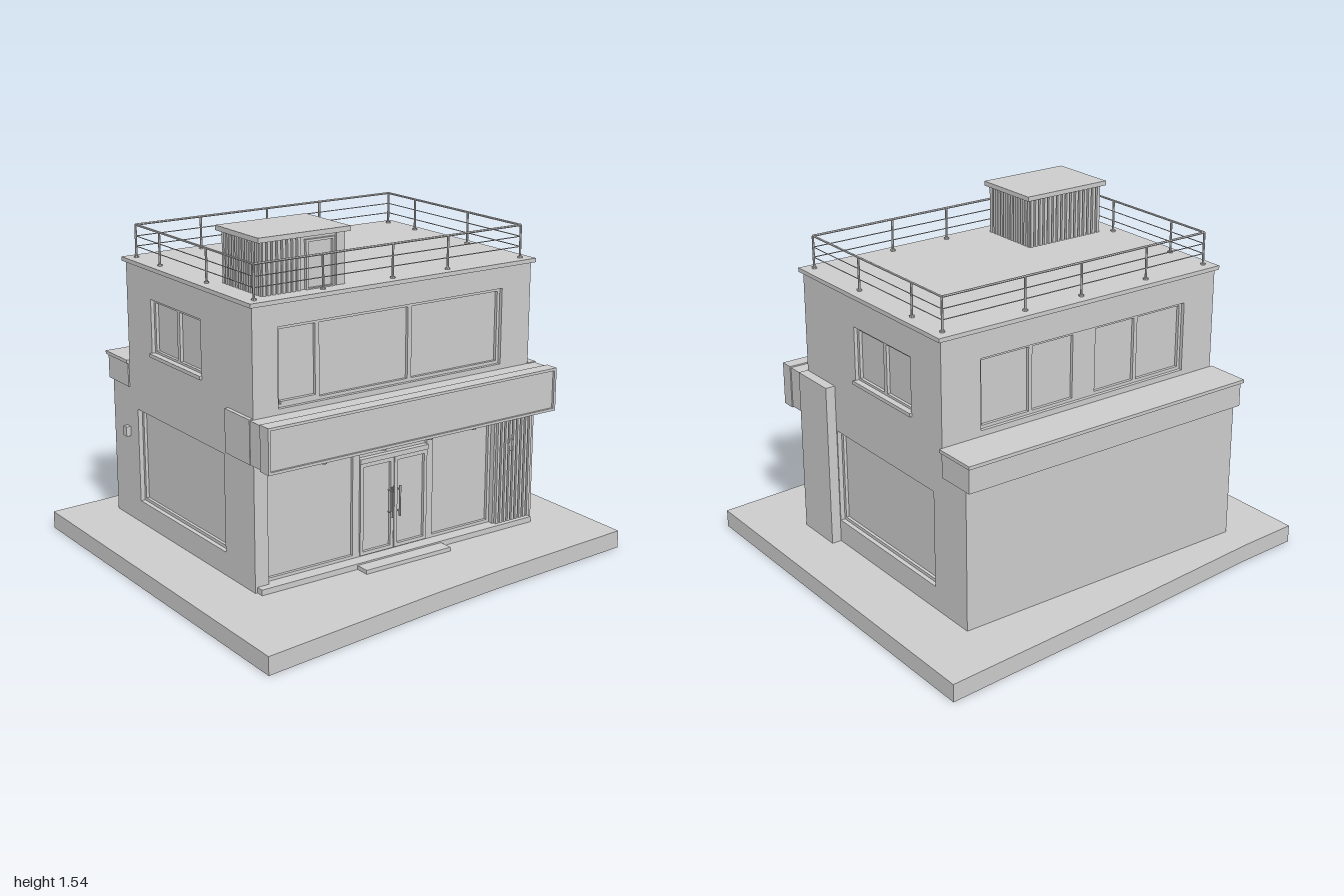
import * as THREE from 'three';

const mat = new THREE.MeshStandardMaterial({ color: 0xcccccc, flatShading: true });

function add(parent, name, geo, x = 0, y = 0, z = 0) {
  const m = new THREE.Mesh(geo, mat);
  m.name = name;
  m.position.set(x, y, z);
  parent.add(m);
  return m;
}

// Box given by its min and max on each axis
function box(parent, name, x0, x1, y0, y1, z0, z1) {
  return add(parent, name, new THREE.BoxGeometry(x1 - x0, y1 - y0, z1 - z0),
    (x0 + x1) / 2, (y0 + y1) / 2, (z0 + z1) / 2);
}

function group(parent, name, x = 0, y = 0, z = 0, ry = 0) {
  const g = new THREE.Group();
  g.name = name;
  g.position.set(x, y, z);
  g.rotation.y = ry;
  parent.add(g);
  return g;
}

// Flat wall with rectangular openings [u0, u1, v0, v1]
function wallGeometry(outline, openings, depth) {
  const shape = new THREE.Shape(outline.map(p => new THREE.Vector2(...p)));
  for (const [a, b, c, d] of openings) {
    shape.holes.push(new THREE.Path([[a, c], [a, d], [b, d], [b, c]].map(p => new THREE.Vector2(...p))));
  }
  return new THREE.ExtrudeGeometry(shape, { depth, bevelEnabled: false });
}

// Recessed window facing local +z, wall face at z = 0, bottom centre at the origin
function windowUnit(g, w, h, mullions, recess = 0.03, f = 0.014) {
  const back = -recess, front = back + 0.014;
  box(g, 'glass', -w / 2, w / 2, 0, h, back - 0.02, back);
  for (const s of [-1, 1]) {
    const x = s * (w / 2 - f / 2);
    box(g, 'frameSide', x - f / 2, x + f / 2, 0, h, back, front);
  }
  for (const y of [0, h - f]) box(g, 'frameRail', -w / 2 + f, w / 2 - f, y, y + f, back, front);
  for (const [x, t] of mullions) box(g, 'mullion', x - t / 2, x + t / 2, f, h - f, back, front);
}

// Row of vertical slats along local x
function slats(g, x0, x1, y0, y1, z, n) {
  const step = (x1 - x0) / n;
  for (let i = 0; i < n; i++) {
    const x = x0 + (i + 0.5) * step;
    box(g, 'slat', x - step * 0.3, x + step * 0.3, y0, y1, z, z + 0.014);
  }
}

function rod(parent, name, a, b, r) {
  const p = new THREE.Vector3(...a), q = new THREE.Vector3(...b);
  const m = add(parent, name, new THREE.CylinderGeometry(r, r, p.distanceTo(q), 6));
  m.position.copy(p).add(q).multiplyScalar(0.5);
  m.quaternion.setFromUnitVectors(new THREE.Vector3(0, 1, 0), q.sub(p).normalize());
}

export function createModel() {
  const model = new THREE.Group();
  model.name = 'building';
  const T = 0.06, X = 0.72, FRONT = 0.48, BACK = -0.555;

  // Skewed ground plate
  const plate = [[-0.99, -1], [-0.5, -0.945], [-0.1, -0.9], [0.25, -0.87], [0.99, -0.825],
    [0.99, 1], [0.6, 0.97], [0, 0.925], [-0.7, 0.86], [-0.99, 0.845]];
  add(model, 'groundPlate', wallGeometry(plate, [], 0.08)).rotation.x = -Math.PI / 2;

  // Side walls, stepped at the back, with two windows each
  const walls = group(model, 'walls');
  const profile = [[-0.715, 0.08], [FRONT, 0.08], [FRONT, 1.29], [BACK, 1.29], [BACK, 0.82], [-0.715, 0.82]];
  const sideGeo = wallGeometry(profile, [[-0.49, 0.25, 0.185, 0.62], [-0.34, 0.08, 0.91, 1.155]], T);
  for (const s of [-1, 1]) {
    add(walls, 'sideWall', sideGeo, s > 0 ? X : -X + T, 0, 0).rotation.y = -Math.PI / 2;
    const ry = s * Math.PI / 2;
    windowUnit(group(model, 'sideShopWindow', s * X, 0.185, -0.12, ry), 0.74, 0.435, [], 0.035);
    const upper = group(model, 'sideUpperWindow', s * X, 0.91, -0.13, ry);
    windowUnit(upper, 0.42, 0.245, [[0, 0.022]]);
    box(upper, 'sill', -0.215, 0.215, -0.012, 0.004, -0.03, 0.012);
  }

  // Front wall with the shop opening and the long upper window
  const w = X - T;
  add(walls, 'frontWall', wallGeometry([[-w, 0.08], [w, 0.08], [w, 1.29], [-w, 1.29]],
    [[-0.655, 0.54, 0.105, 0.615], [-0.6, 0.56, 0.85, 1.19]], T), 0, 0, FRONT - T);
  const upperFront = group(model, 'frontUpperWindow', -0.02, 0.85, FRONT);
  windowUnit(upperFront, 1.16, 0.34, [[-0.38, 0.02], [0.09, 0.02]]);
  box(upperFront, 'sashRail', -0.56, -0.39, 0.014, 0.026, -0.03, -0.012);

  // Rear wall, lower rear block, terrace and its parapet band
  add(walls, 'rearUpperWall', wallGeometry([[-w, 0.8], [w, 0.8], [w, 1.29], [-w, 1.29]],
    [[-0.55, 0.53, 0.86, 1.17]], T), 0, 0, BACK);
  windowUnit(group(model, 'rearUpperWindow', -0.01, 0.86, BACK, Math.PI), 1.08, 0.31,
    [[-0.28, 0.018], [0, 0.12], [0.28, 0.018]]);
  box(walls, 'rearLowerWall', -w, w, 0.08, 0.82, -0.715, -0.655);
  box(walls, 'terraceBand', -0.726, 0.726, 0.71, 0.82, -0.745, -0.56);
  box(walls, 'terraceCap', -0.734, 0.734, 0.82, 0.835, -0.757, -0.555);

  // Shop front: two display windows and a double door with a transom
  windowUnit(group(model, 'leftDisplayWindow', -0.4275, 0.105, FRONT), 0.455, 0.51, [], 0.04);
  windowUnit(group(model, 'rightDisplayWindow', 0.37, 0.105, FRONT), 0.34, 0.51, [], 0.04);
  const door = group(model, 'entrance', 0, 0.105, FRONT);
  windowUnit(door, 0.4, 0.51, [], 0.04, 0.02);
  box(door, 'transomBar', -0.18, 0.18, 0.42, 0.442, -0.04, -0.015);
  for (const s of [-1, 1]) {
    const leaf = group(door, 'doorLeaf', s * 0.09, 0.004, 0);
    windowUnit(leaf, 0.176, 0.414, [], 0.034, 0.016);
    rod(door, 'doorHandle', [s * 0.022, 0.15, -0.006], [s * 0.022, 0.29, -0.006], 0.005);
    for (const y of [0.17, 0.27]) rod(door, 'handleMount', [s * 0.022, y, -0.034], [s * 0.022, y, -0.006], 0.003);
  }
  box(model, 'plinthStep', -0.71, 0.74, 0.08, 0.105, 0.46, 0.515);
  box(model, 'doorStep', -0.23, 0.22, 0.08, 0.098, 0.515, 0.58);

  // Slatted panel and the projecting corner pier
  slats(group(model, 'slattedPanel'), 0.545, 0.75, 0.105, 0.64, FRONT, 9);
  box(model, 'cornerPier', 0.715, 0.765, 0.08, 0.83, 0.255, 0.483);

  // Canopy fascia with a raised border and small downlights
  const canopy = group(model, 'canopy');
  box(canopy, 'fascia', -0.735, 0.76, 0.64, 0.826, 0.475, 0.612);
  box(canopy, 'fasciaReturn', -0.738, -0.7, 0.64, 0.83, 0.29, 0.48);
  box(canopy, 'soffit', -0.7, 0.73, 0.618, 0.64, 0.475, 0.56);
  for (const y of [0.636, 0.82]) box(canopy, 'borderRail', -0.74, 0.765, y, y + 0.012, 0.56, 0.622);
  for (const x of [-0.74, 0.753]) box(canopy, 'borderEnd', x, x + 0.012, 0.648, 0.82, 0.56, 0.622);
  for (const x of [-0.45, -0.15, 0.09, 0.33]) {
    add(canopy, 'downlight', new THREE.CylinderGeometry(0.012, 0.012, 0.016, 10), x, 0.628, 0.585);
  }

  // Wall lamps
  box(model, 'sideLamp', -0.742, -0.715, 0.475, 0.52, -0.595, -0.565);
  const lamp = group(model, 'frontLamp', 0.62, 0.47, 0.496);
  add(lamp, 'lampBody', new THREE.CylinderGeometry(0.009, 0.009, 0.05, 10), 0, 0, 0.008);
  box(lamp, 'lampBracket', -0.005, 0.005, -0.006, 0.006, -0.012, 0.008);

  // Roof slab and edge trim
  box(model, 'roofSlab', -X, X, 1.27, 1.29, BACK, FRONT);
  box(model, 'roofTrim', -0.735, 0.735, 1.287, 1.305, -0.568, 0.495);

  // Roof railing
  const railing = group(model, 'railing');
  const x0 = -0.688, x1 = 0.683, z0 = -0.515, z1 = 0.448, top = 1.45;
  const corners = [[x0, z0], [x1, z0], [x1, z1], [x0, z1]];
  corners.forEach(([ax, az], i) => {
    const [bx, bz] = corners[(i + 1) % 4];
    for (const [y, r] of [[top, 0.005], [1.4, 0.0022], [1.355, 0.0022]]) {
      rod(railing, 'rail', [ax, y, az], [bx, y, bz], r);
    }
  });
  const posts = [...corners];
  for (const z of [z0, z1]) for (const x of [-0.36, -0.01, 0.28]) posts.push([x, z]);
  for (const x of [x0, x1]) for (const z of [0.085, -0.305]) posts.push([x, z]);
  for (const [x, z] of posts) {
    rod(railing, 'post', [x, 1.3, z], [x, top, z], 0.005);
    add(railing, 'postFoot', new THREE.CylinderGeometry(0.011, 0.011, 0.008, 8), x, 1.308, z);
  }

  // Slatted stair house on the roof
  const hut = group(model, 'stairHouse', -0.433, 1.3, 0.268);
  box(hut, 'core', -0.19, 0.19, 0, 0.225, -0.14, 0.14);
  box(hut, 'roof', -0.222, 0.222, 0.224, 0.245, -0.163, 0.163);
  const frontSide = group(hut, 'frontSlats');
  slats(frontSide, -0.2, -0.01, 0, 0.224, 0.138, 8);
  box(frontSide, 'cornerPost', 0.16, 0.202, 0, 0.224, 0.13, 0.15);
  const hutDoor = group(hut, 'hutDoor', 0.08, 0, 0.168);
  windowUnit(hutDoor, 0.14, 0.21, [], 0.028, 0.01);
  slats(group(hut, 'rearSlats', 0, 0, 0, Math.PI), -0.202, 0.202, 0, 0.224, 0.138, 16);
  for (const s of [-1, 1]) slats(group(hut, 'sideSlats', 0, 0, 0, s * Math.PI / 2), -0.15, 0.15, 0, 0.224, 0.188, 12);

  return model;
}
